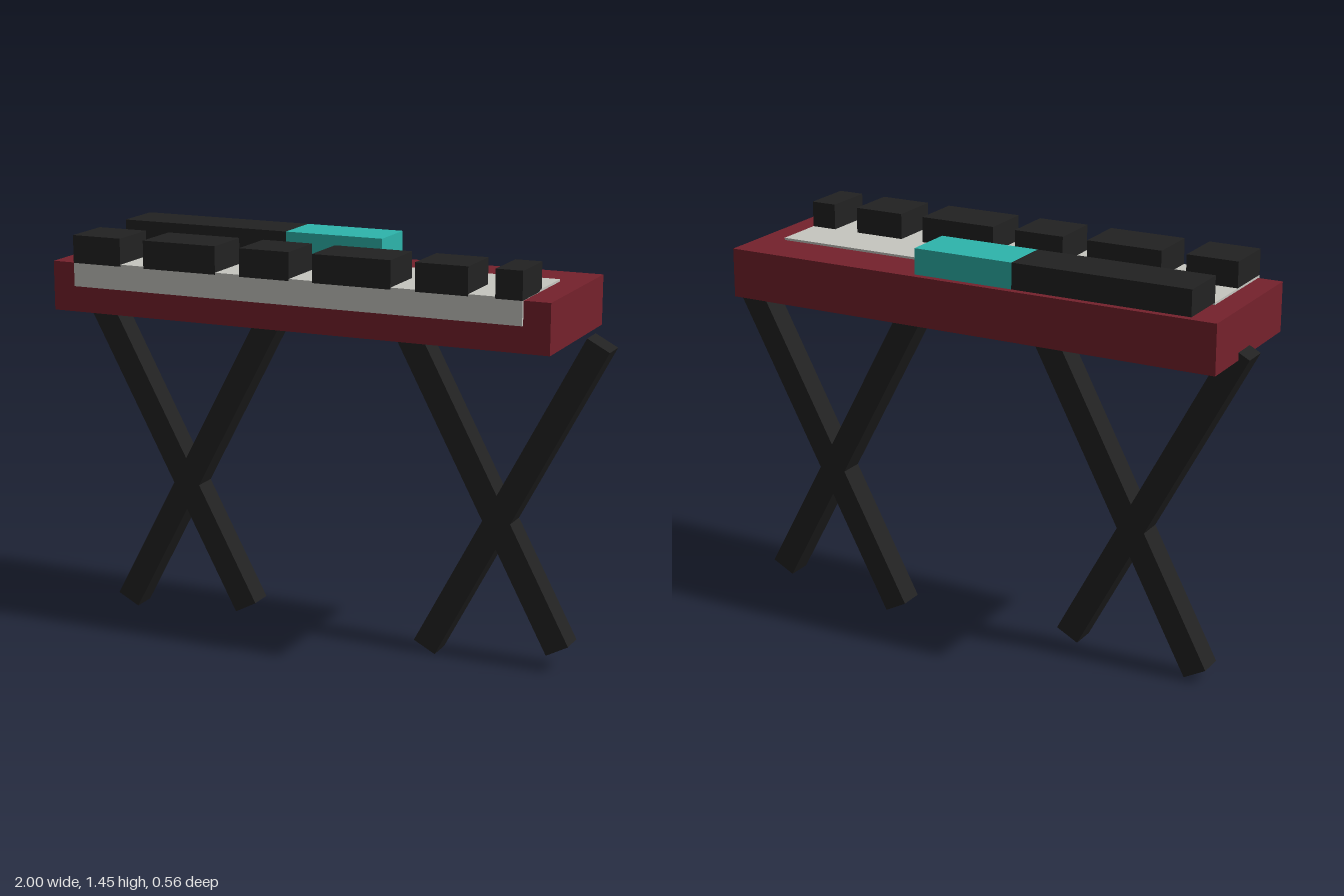
import * as THREE from 'three';

const material = (name, color) => {
  const m = new THREE.MeshStandardMaterial({ color });
  m.name = name;
  return m;
};

export function createModel() {
  const model = new THREE.Group();
  model.name = 'keyboardOnStand';
  const red = material('dark red', 0x75212c);
  const black = material('black', 0x222222);
  const ivory = material('ivory', 0xc6c6c0);
  const teal = material('teal', 0x2db5ac);

  // Box given by its extents on each axis
  const block = (name, mat, [x0, x1], [y0, y1], [z0, z1]) => {
    const mesh = new THREE.Mesh(new THREE.BoxGeometry(x1 - x0, y1 - y0, z1 - z0), mat);
    mesh.position.set((x0 + x1) / 2, (y0 + y1) / 2, (z0 + z1) / 2);
    mesh.name = name;
    model.add(mesh);
  };

  // Case and key bed
  block('case', red, [-0.96, 0.88], [1.178, 1.352], [-0.277, 0.268]);
  block('whiteKeys', ivory, [-0.872, 0.787], [1.27, 1.36], [-0.093, 0.278]);

  // Raised black keys along the front
  const keys = [[-0.872, -0.686], [-0.595, -0.318], [-0.226, -0.041],
    [0.045, 0.328], [0.415, 0.6], [0.694, 0.787]];
  keys.forEach((x, i) => block(`blackKey${i + 1}`, black, x, [1.353, 1.451], [0.093, 0.279]));

  // Control panel and display along the back
  block('controlPanel', black, [-0.872, -0.228], [1.36, 1.451], [-0.277, -0.093]);
  block('display', teal, [-0.228, 0.14], [1.36, 1.451], [-0.277, -0.093]);

  // Crossed stand legs: foot and top centres
  const legs = [
    [-0.355, 0.068, -0.96, 1.205],
    [-0.845, 0.032, -0.238, 1.176],
    [0.842, 0.078, 0.237, 1.215],
    [0.35, 0.021, 0.957, 1.166],
  ];
  legs.forEach(([x0, y0, x1, y1], i) => {
    const length = Math.hypot(x1 - x0, y1 - y0);
    const leg = new THREE.Mesh(new THREE.BoxGeometry(0.09, length, 0.092), black);
    leg.position.set((x0 + x1) / 2, (y0 + y1) / 2, -0.046);
    leg.rotation.z = -Math.atan2(x1 - x0, y1 - y0);
    leg.name = `standLeg${i + 1}`;
    model.add(leg);
  });

  return model;
}
